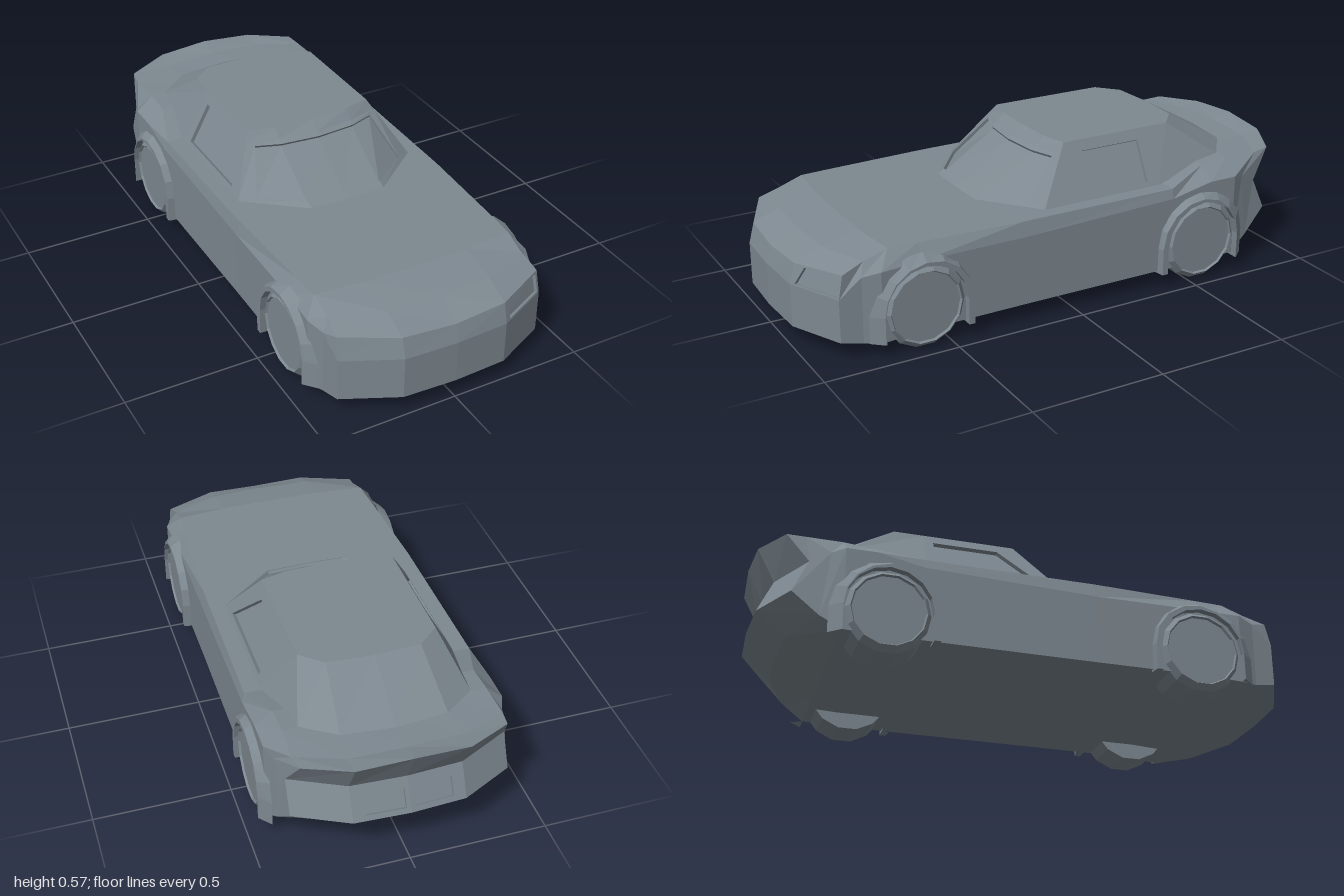
import * as THREE from 'three';

const material = new THREE.MeshStandardMaterial({ color: 0x7d8890 });
material.flatShading = true;

// Collects quads together with their mirror image across x = 0.
function part(name) {
  const pos = [];
  const tri = (...pts) => pts.forEach((p) => pos.push(...p));
  const flip = ([x, y, z]) => [-x, y, z];
  return {
    quad(a, b, c, d) {
      tri(a, b, c, a, c, d);
      const [p, q, r, s] = [d, c, b, a].map(flip);
      tri(p, q, r, p, r, s);
    },
    mesh() {
      const g = new THREE.BufferGeometry();
      g.setAttribute('position', new THREE.Float32BufferAttribute(pos, 3));
      g.computeVertexNormals();
      const m = new THREE.Mesh(g, material);
      m.name = name;
      return m;
    },
  };
}

const lerp = (a, b, t) => a.map((v, i) => v + (b[i] - v) * t);

// Framed panel with a sunken pane; bottom and top run left to right seen from outside.
// Insets are left, right, bottom, top and, if different, left along the top edge.
function recess(frame, pane, bot, top, [l, r, b, t, lt = l], depth) {
  const n = bot.length - 1;
  const trim = (p, left) => p.map((v, i) =>
    i === 0 ? lerp(v, p[1], left) : i === n ? lerp(v, p[n - 1], r) : v);
  const tb = trim(bot, l), tt = trim(top, lt);
  const bi = tb.map((p, i) => lerp(p, tt[i], b));
  const ti = tt.map((p, i) => lerp(p, tb[i], t));
  const o = new THREE.Vector3(...bi[0]);
  const normal = new THREE.Vector3(...bi[n]).sub(o)
    .cross(new THREE.Vector3(...ti[0]).sub(o));
  if (l === 0) normal.x = 0; // panel continues across the centre line
  const d = normal.normalize().multiplyScalar(depth).toArray();
  const sink = (p) => p.map((v) => v.map((c, i) => c - d[i]));
  const bg = sink(bi), tg = sink(ti);
  for (let i = 0; i < n; i++) {
    frame.quad(bot[i], bot[i + 1], bi[i + 1], bi[i]);
    frame.quad(ti[i], ti[i + 1], top[i + 1], top[i]);
    frame.quad(bi[i], bi[i + 1], bg[i + 1], bg[i]);
    frame.quad(ti[i + 1], ti[i], tg[i], tg[i + 1]);
    pane.quad(bg[i], bg[i + 1], tg[i + 1], tg[i]);
  }
  if (l > 0) {
    frame.quad(bot[0], bi[0], ti[0], top[0]);
    frame.quad(ti[0], bi[0], bg[0], tg[0]);
  }
  frame.quad(bi[n], bot[n], top[n], ti[n]);
  frame.quad(bi[n], ti[n], tg[n], bg[n]);
}

function buildBody() {
  const body = part('body'), lamps = part('headlights'), rear = part('rearPanels');
  // z bottom, z side, z top, half width, y bottom, y side, top half width, y top, plan bow, crown
  const sections = [
    [1.0, 1.0, 0.98, 0.4, 0.07, 0.23, 0.395, 0.295, 0.95, -0.02],
    [0.91, 0.91, 0.88, 0.412, 0.055, 0.3, 0.385, 0.345, 0.8, 0],
    [0.78, 0.78, 0.73, 0.436, 0.05, 0.315, 0.388, 0.375, 0.2, 0],
    [0.6, 0.6, 0.6, 0.43, 0.06, 0.32, 0.395, 0.375, 0, 0],
    [0.2, 0.2, 0.2, 0.428, 0.06, 0.32, 0.415, 0.375, 0, 0],
    [-0.43, -0.43, -0.43, 0.43, 0.06, 0.34, 0.42, 0.376, 0, 0],
    [-0.6, -0.6, -0.6, 0.43, 0.06, 0.375, 0.365, 0.422, 0, 0],
    [-0.71, -0.71, -0.71, 0.43, 0.065, 0.375, 0.365, 0.432, 0, 0],
    [-0.88, -0.85, -0.92, 0.41, 0.115, 0.36, 0.37, 0.44, -0.8, 0.01],
    [-0.99, -0.935, -1.0, 0.39, 0.205, 0.325, 0.36, 0.46, -1, 0.024],
  ].map(([zb, zd, zt, w, yb, yd, wt, yt, k, crown]) => {
    const at = (x, y, z) => [x, y, z - k * (0.05 * x + 0.45 * Math.max(0, x - 0.2))];
    const ring = [at(0, yb, zb), at(0.2, yb, zb), at(w, yb, zb), at(w, yd, zd),
      at(wt, yt - crown, zt), at(0.2, yt - crown / 2, zt), at(0, yt, zt)];
    const rows = [ring.slice(0, 3), [at(0, yd, zd), at(0.2, yd, zd), ring[3]],
      [ring[6], ring[5], ring[4]]];
    return { ring, rows };
  });
  for (let i = 0; i + 1 < sections.length; i++) {
    const f = sections[i].ring, b = sections[i + 1].ring;
    for (let j = 0; j < 6; j++) body.quad(f[j], b[j], b[j + 1], f[j + 1]);
  }
  // Nose and tail, with sunken lamps and lower rear panels
  const nose = sections[0].rows, tail = sections.at(-1).rows;
  for (let r = 0; r < 2; r++) {
    for (let c = 0; c < 2; c++) {
      const [a, b, d, e] = [nose[r][c], nose[r][c + 1], nose[r + 1][c + 1], nose[r + 1][c]];
      if (r === 1 && c === 1) recess(body, lamps, [a, b], [e, d], [0.08, 0.05, 0.08, 0.1, 0.24], 0.012);
      else body.quad(a, b, d, e);
      const [p, q, s, t] = [tail[r][c + 1], tail[r][c], tail[r + 1][c], tail[r + 1][c + 1]];
      if (r === 0 && c === 0) recess(body, rear, [p, q], [t, s], [0.22, 0.07, 0.15, 0.3], 0.012);
      else body.quad(p, q, s, t);
    }
  }
  return [body.mesh(), lamps.mesh(), rear.mesh()];
}

function buildCabin() {
  const cabin = part('cabin'), screen = part('windshield'), side = part('sideWindows');
  const base = [[0, 0.375, 0.255], [0.15, 0.375, 0.25], [0.36, 0.375, 0.08],
    [0.36, 0.375, -0.41], [0.31, 0.43, -0.71], [0.19, 0.44, -0.8], [0, 0.44, -0.82]];
  const brow = [[0, 0.535, 0.015], [0.15, 0.535, 0.0], [0.27, 0.535, -0.035]];
  const roof = [[0, 0.57, -0.03], [0.15, 0.57, -0.035], [0.25, 0.57, -0.06],
    [0.25, 0.57, -0.4], [0.25, 0.57, -0.51], [0.17, 0.57, -0.58], [0, 0.57, -0.59]];
  recess(cabin, screen, base.slice(0, 3), brow, [0, 0.26, 0.1, 0.07], 0.012);
  for (let i = 0; i < 2; i++) cabin.quad(brow[i], brow[i + 1], roof[i + 1], roof[i]);
  recess(cabin, side, [base[2], base[3]], [roof[2], roof[3]], [0.12, 0.09, 0.09, 0.19, 0.3], 0.015);
  // Rear pillars and rear window
  for (let i = 3; i < 6; i++) cabin.quad(base[i], base[i + 1], roof[i + 1], roof[i]);
  // Roof
  cabin.quad(roof[0], roof[1], roof[5], roof[6]);
  cabin.quad(roof[1], roof[2], roof[4], roof[5]);
  return [cabin.mesh(), screen.mesh(), side.mesh()];
}

// Flared arch: a profile swept over a half circle with straight legs,
// tapering gently towards the bumper and ending abruptly towards the door
function buildArch(cz, name) {
  const arch = part(name);
  const steps = 8, loops = [];
  for (let i = -1; i <= steps + 1; i++) {
    const a = (Math.PI * Math.min(Math.max(i, 0), steps)) / steps;
    const leg = i < 0 || i > steps;
    const s = (1 + Math.sign(cz) * Math.cos(a)) / 2;
    const profile = [[0.157, 0.4], [0.157, 0.457],
      [0.18 - 0.02 * s, 0.457], [0.187 + 0.018 * s, 0.418]];
    loops.push(profile.map(([r, x]) =>
      [x, leg ? 0.052 : 0.153 + r * Math.sin(a), cz + r * Math.cos(a)]));
  }
  for (let i = 0; i + 1 < loops.length; i++) {
    const p = loops[i], q = loops[i + 1];
    for (let j = 0; j < 3; j++) arch.quad(p[j], q[j], q[j + 1], p[j + 1]);
  }
  arch.quad(...loops[0]);
  arch.quad(...[...loops.at(-1)].reverse());
  return arch.mesh();
}

function buildWheel(side, cz, name) {
  const profile = [[0, 0.29], [0.156, 0.29], [0.156, 0.425], [0.135, 0.448], [0.13, 0.44], [0, 0.44]];
  const g = new THREE.LatheGeometry(profile.map(([r, y]) => new THREE.Vector2(r, y)), 14);
  const wheel = new THREE.Mesh(g, material);
  wheel.rotation.z = (-side * Math.PI) / 2;
  wheel.position.set(0, 0.152, cz);
  wheel.name = name;
  return wheel;
}

export function createModel() {
  const car = new THREE.Group();
  car.name = 'car';
  car.add(...buildBody(), ...buildCabin());
  for (const [cz, end] of [[0.595, 'front'], [-0.555, 'rear']]) {
    car.add(buildArch(cz, `${end}WheelArches`));
    car.add(buildWheel(1, cz, `${end}LeftWheel`), buildWheel(-1, cz, `${end}RightWheel`));
  }
  return car;
}
